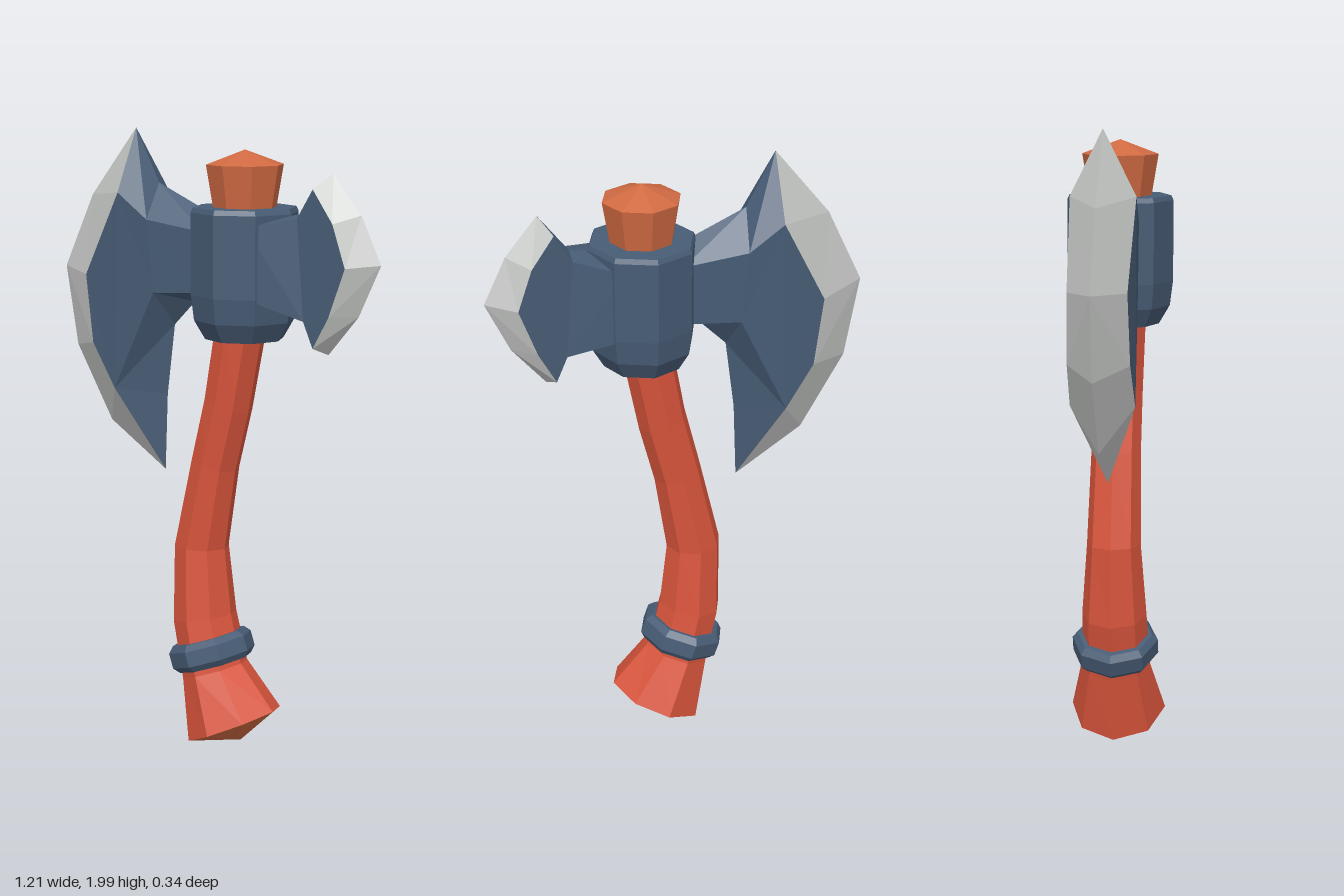
import * as THREE from 'three';

const flat = (hex, name) => {
  const m = new THREE.MeshStandardMaterial({ color: hex });
  m.flatShading = true;
  m.name = name;
  return m;
};

const V = (x, y, z = 0) => new THREE.Vector3(x, y, z);

function geometryFrom(tris) {
  const g = new THREE.BufferGeometry();
  g.setFromPoints(tris.flat());
  g.computeVertexNormals();
  return g;
}

// Joins pairs of equally long point rows on the +z half, then mirrors them to -z.
function mirroredStrips(...strips) {
  const tris = [];
  const add = (a, b, c) => {
    const n = b.clone().sub(a).cross(c.clone().sub(a));
    if (n.length() < 1e-8) return;
    const t = n.z > 0 ? [a, b, c] : [a, c, b];
    tris.push(t, [t[0], t[2], t[1]].map((p) => V(p.x, p.y, -p.z)));
  };
  for (const [A, B] of strips) {
    for (let i = 0; i + 1 < A.length; i++) {
      add(A[i], A[i + 1], B[i + 1]);
      add(A[i], B[i + 1], B[i]);
    }
  }
  return geometryFrom(tris);
}

export function createModel() {
  const model = new THREE.Group();
  const red = flat(0xd9553c, 'red wood');
  const orange = flat(0xd06a42, 'cut wood');
  const blue = flat(0x475c75, 'blue steel');
  const silver = flat(0xc6c8c6, 'sharpened steel');
  const add = (name, geometry, material) => {
    const m = new THREE.Mesh(geometry, material);
    m.name = name;
    model.add(m);
    return m;
  };
  const lathe = (pts) => new THREE.LatheGeometry(pts.map(([r, y]) => new THREE.Vector2(r, y)), 8);

  // Curved handle: left edge x, y, right edge x, y and half depth of each octagon
  const rings = [
    [-0.075, 0.01, 0.225, 0.15, 0.155],
    [-0.105, 0.22, 0.1, 0.29, 0.112],
    [-0.145, 0.41, 0.06, 0.45, 0.105],
    [-0.145, 0.67, 0.035, 0.665, 0.087],
    [-0.075, 0.97, 0.075, 0.925, 0.08],
    [-0.025, 1.17, 0.125, 1.12, 0.08],
    [0.02, 1.42, 0.18, 1.4, 0.085],
  ].map(([lx, ly, rx, ry, d]) => Array.from({ length: 8 }, (_, k) => {
    const c = Math.cos(k * Math.PI / 4), s = Math.sin(k * Math.PI / 4);
    return V((lx + rx) / 2 + c * (rx - lx) / 2, (ly + ry) / 2 + c * (ry - ly) / 2, s * d);
  }));
  const wood = [], butt = [];
  const apex = V(0.1, 0.03);
  for (let k = 0; k < 8; k++) {
    const n = (k + 1) % 8;
    for (let i = 0; i + 1 < rings.length; i++) {
      const a = rings[i], b = rings[i + 1];
      wood.push([a[k], b[k], b[n]], [a[k], b[n], a[n]]);
    }
    butt.push([apex, rings[0][k], rings[0][n]]);
  }
  add('handle', geometryFrom(wood), red);
  add('handleButt', geometryFrom(butt), orange);

  // Handle top sticking out of the head
  add('handleTop', lathe([[0.09, 1.7], [0.1, 1.77], [0.122, 1.9], [0, 1.945]]), orange).position.x = 0.11;

  // Band round the grip
  const band = add('gripBand', lathe([[0.09, -0.045], [0.122, -0.045], [0.14, -0.025],
    [0.14, 0.025], [0.122, 0.045], [0.09, 0.045]]), blue);
  band.position.set(-0.015, 0.317, 0);
  band.rotation.z = 0.33;

  // Socket of the head
  add('headSocket', lathe([[0, 1.36], [0.125, 1.36], [0.16, 1.42], [0.17, 1.5],
    [0.17, 1.755], [0.163, 1.77], [0, 1.77]]), blue).position.x = 0.11;

  // Large blade: face outline, top and bottom bevels, then the cutting edge
  const tip = V(-0.31, 2), heel = V(-0.2, 0.9);
  const f = [V(-0.31, 1.8, 0.1), V(-0.45, 1.53, 0.09), V(-0.42, 1.31, 0.095), V(-0.33, 1.17, 0.1)];
  const top = [V(-0.2, 1.72, 0.095), V(0, 1.69, 0.07)];
  const low = [V(-0.18, 1.49, 0.09), V(0, 1.5, 0.07)];
  add('largeBlade', mirroredStrips(
    [[f[1], f[0], ...top], [f[2], f[3], ...low]],
    [[tip, V(-0.22, 1.83), V(0, 1.735)], [f[0], ...top]],
    [[f[3], f[3], low[0], low[0], low[1]],
      [heel, V(-0.19, 1.15), V(-0.16, 1.38), V(-0.08, 1.46), V(0, 1.485)]],
  ), blue);
  add('largeBladeEdge', mirroredStrips([
    [tip, V(-0.49, 1.78), V(-0.605, 1.54), V(-0.56, 1.28), V(-0.42, 1.04), heel],
    [tip, ...f, heel],
  ]), silver);

  // Small blade on the other side
  const n0 = V(0.2, 1.72, 0.125), n1 = V(0.2, 1.5, 0.125);
  const t1 = V(0.34, 1.75, 0.06), b1 = V(0.365, 1.44, 0.06);
  const e = [[0.395, 1.84], [0.465, 1.74], [0.51, 1.61], [0.455, 1.46], [0.4, 1.36]].map(([x, y]) => V(x, y, 0.06));
  const o = [[0.43, 1.885], [0.53, 1.765], [0.6, 1.62], [0.525, 1.46], [0.42, 1.335]].map(([x, y]) => V(x, y));
  add('smallBlade', mirroredStrips(
    [[n0, t1, e[0], e[1], e[2]], [n1, b1, e[4], e[3], e[2]]],
    [[n0, t1, e[0]], [V(0.2, 1.735), V(0.335, 1.762), o[0]]],
    [[n1, b1, e[4]], [V(0.2, 1.485), V(0.36, 1.43), o[4]]],
  ), blue);
  add('smallBladeEdge', mirroredStrips([o, e]), silver);

  return model;
}
